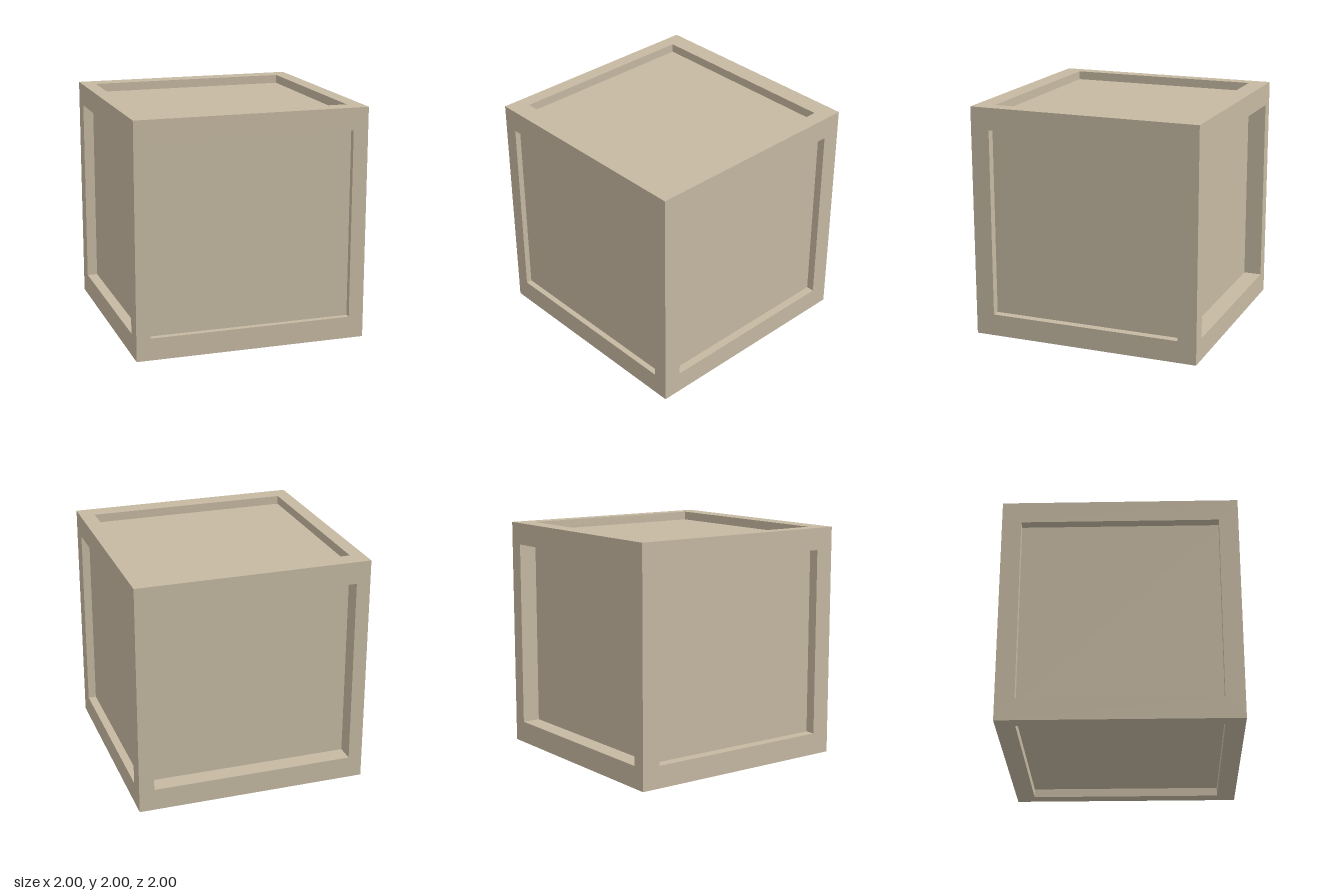
import * as THREE from 'three';
import { mergeGeometries } from 'three/addons/utils/BufferGeometryUtils.js';

// Opening in the frame, shared by opposite sides of the crate
const X0 = -0.88, X1 = 0.87, Y = 0.81, Z = 0.837;

// Four walls of a recess, from the panel at -depth up to the frame at 0
function recessWalls(corners, depth) {
  const pos = [];
  corners.forEach((p, i) => {
    const q = corners[(i + 1) % 4];
    const a = [q.x, q.y, -depth], b = [p.x, p.y, -depth];
    const c = [p.x, p.y, 0], d = [q.x, q.y, 0];
    pos.push(...a, ...b, ...c, ...a, ...c, ...d);
  });
  const g = new THREE.BufferGeometry();
  g.setAttribute('position', new THREE.Float32BufferAttribute(pos, 3));
  g.computeVertexNormals();
  return g;
}

// Square border with a rectangular opening
function borderWithWalls(corners, depth) {
  const shape = new THREE.Shape([[-1, -1], [1, -1], [1, 1], [-1, 1]].map(([x, y]) => new THREE.Vector2(x, y)));
  shape.holes.push(new THREE.Path([...corners].reverse()));
  const border = new THREE.ShapeGeometry(shape).toNonIndexed();
  border.deleteAttribute('uv');
  return mergeGeometries([border, recessWalls(corners, depth)]);
}

export function createModel() {
  const model = new THREE.Group();
  model.name = 'crate';
  const wood = new THREE.MeshStandardMaterial({ color: 0xc6b9a2 });
  wood.name = 'pale wood';

  // name, horizontal axis, vertical axis, opening left/right, half height, recess depth
  const sides = [
    ['front', [1, 0, 0], [0, 1, 0], X0, X1, Y, 0.05],
    ['back', [-1, 0, 0], [0, 1, 0], -X1, -X0, Y, 0.158],
    ['left', [0, 0, -1], [0, 1, 0], -Z, Z, Y, 0.07],
    ['right', [0, 0, 1], [0, 1, 0], -Z, Z, Y, 0.09],
    ['top', [1, 0, 0], [0, 0, -1], X0, X1, Z, 0.075],
    ['bottom', [1, 0, 0], [0, 0, 1], X0, X1, Z, 0.075],
  ];

  for (const [name, uAxis, vAxis, a, b, h, depth] of sides) {
    const u = new THREE.Vector3(...uAxis), v = new THREE.Vector3(...vAxis);
    const n = u.clone().cross(v);
    const corners = [[a, -h], [b, -h], [b, h], [a, h]].map(([x, y]) => new THREE.Vector2(x, y));

    // Recessed panel and its surrounding frame, laid flat then turned to its side
    const panel = new THREE.PlaneGeometry(b - a, 2 * h).translate((a + b) / 2, 0, -depth);
    const place = new THREE.Matrix4().makeBasis(u, v, n).setPosition(n.x, n.y + 1, n.z);
    const parts = { Frame: borderWithWalls(corners, depth), Panel: panel };
    for (const [part, geometry] of Object.entries(parts)) {
      const mesh = new THREE.Mesh(geometry.applyMatrix4(place), wood);
      mesh.name = name + part;
      model.add(mesh);
    }
  }
  return model;
}
